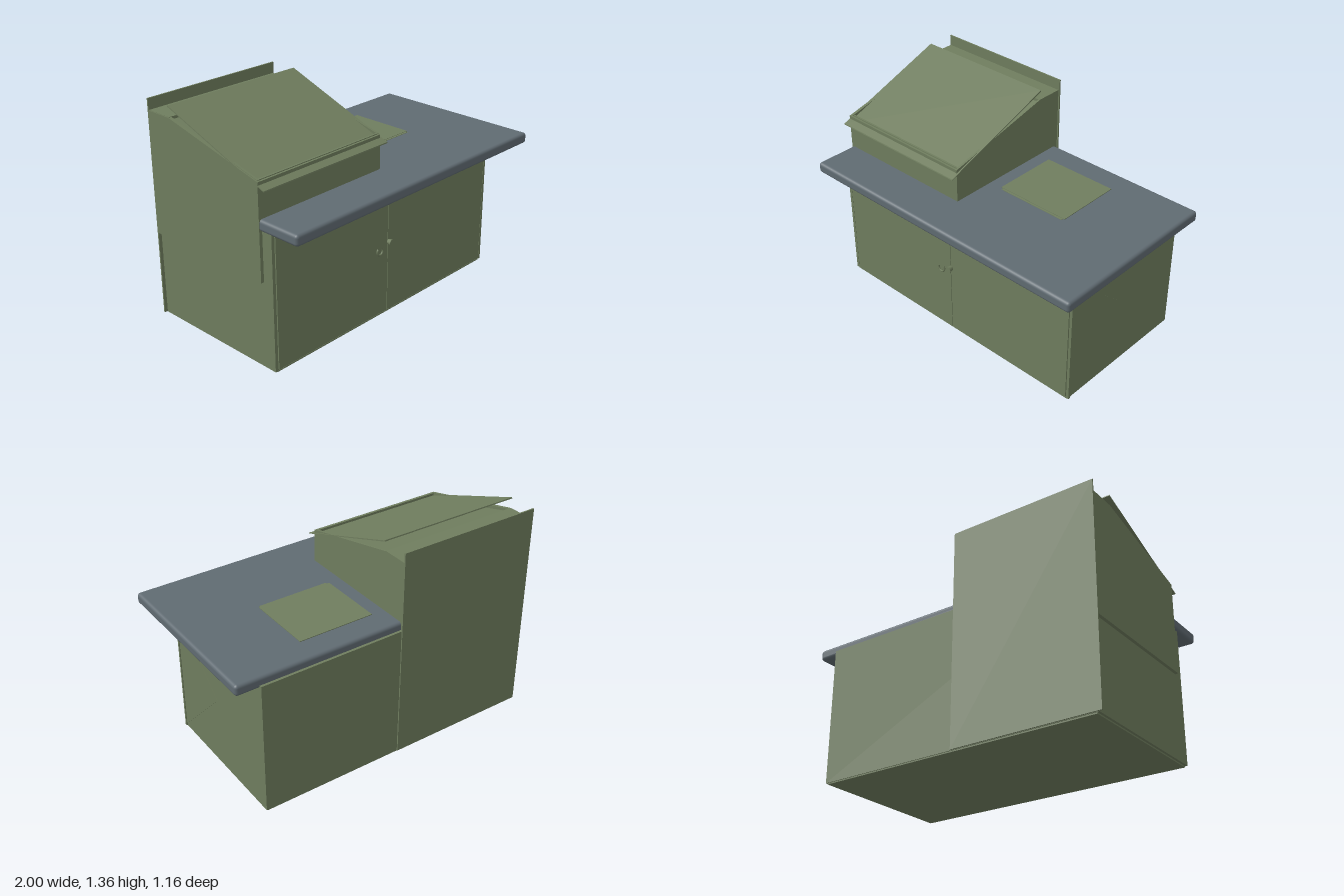
import * as THREE from 'three';
import { RoundedBoxGeometry } from 'three/addons/geometries/RoundedBoxGeometry.js';

export function createModel() {
  const model = new THREE.Group();
  const green = new THREE.MeshStandardMaterial({ color: 0x6f7d5e });
  green.name = 'olive paint';
  const slate = new THREE.MeshStandardMaterial({ color: 0x606b72 });
  slate.name = 'slate counter';

  const add = (name, geometry, material = green) => {
    const mesh = new THREE.Mesh(geometry, material);
    mesh.name = name;
    model.add(mesh);
    return mesh;
  };
  // Box given by its limits on each axis
  const box = (name, [x0, x1], [y0, y1], [z0, z1], material) => {
    const mesh = add(name, new THREE.BoxGeometry(x1 - x0, y1 - y0, z1 - z0), material);
    mesh.position.set((x0 + x1) / 2, (y0 + y1) / 2, (z0 + z1) / 2);
    return mesh;
  };
  // Side profile of [z, y] points, extruded from x0 to x1
  const profile = (name, points, x0, x1) => {
    const shape = new THREE.Shape(points.map(([z, y]) => new THREE.Vector2(z, y)));
    const geometry = new THREE.ExtrudeGeometry(shape, { depth: x1 - x0, bevelEnabled: false });
    geometry.rotateY(-Math.PI / 2).translate(x1, 0, 0);
    return add(name, geometry);
  };

  // Cabinet carcass with a slightly inset plinth
  box('cabinet', [-0.98, 0.855], [0.008, 0.86], [-0.575, 0.368]);
  box('plinth', [-0.965, 0.845], [0, 0.008], [-0.57, 0.37]);

  // Two doors meeting at a narrow gap, with corner posts beside them
  box('rightDoor', [-0.955, -0.073], [0.015, 0.85], [0.366, 0.376]);
  box('leftDoor', [-0.069, 0.84], [0.015, 0.85], [0.366, 0.376]);
  box('rightPost', [-0.98, -0.96], [0.008, 0.85], [0.36, 0.374]);
  box('leftPost', [0.845, 0.862], [0.008, 0.85], [0.36, 0.374]);

  // Triangular brace plate on the side
  profile('sideBrace', [[0.36, 0.02], [0.36, 0.845], [-0.07, 0.46]], 0.854, 0.857);

  // Door knob and ring pull
  const knob = add('knob', new THREE.CylinderGeometry(0.02, 0.015, 0.03, 12).rotateX(Math.PI / 2));
  knob.position.set(-0.065, 0.47, 0.39);
  const ring = add('ringPull', new THREE.TorusGeometry(0.024, 0.006, 6, 16, Math.PI * 1.5));
  ring.rotation.z = Math.PI * 0.75;
  ring.position.set(-0.145, 0.435, 0.382);

  // Worktop with softened edges
  const top = add('worktop', new RoundedBoxGeometry(1.995, 0.068, 1.14, 3, 0.02), slate);
  top.position.set(0.0015, 0.875, 0.011);

  // Square plate let into the worktop, with a small front lip
  box('worktopPlate', [0.015, 0.5], [0.903, 0.913], [-0.4, 0.025]);
  box('plateLip', [0.03, 0.49], [0.902, 0.911], [0.025, 0.04]);

  // Hutch: a core with a sloping top between two taller side panels
  profile('hutchCore', [[0.295, 0.86], [0.295, 1.08], [-0.4, 1.275], [-0.575, 1.275], [-0.575, 0.86]], -0.99, -0.08);
  const slope = [[0.305, 1.12], [-0.4, 1.29], [-0.578, 1.29]];
  profile('hutchLeftSide', [[0.305, 0.86], ...slope, [-0.578, 0.86]], -0.082, -0.07);
  profile('hutchRightSide', [[0.305, 0.54], ...slope, [-0.578, 0.54]], -1, -0.978);
  box('hutchFront', [-0.998, -0.071], [0.86, 1.12], [0.291, 0.305]);
  box('hutchRearShelf', [-0.995, -0.07], [1.275, 1.292], [-0.578, -0.4]);

  // Tall back board reaching down behind the cabinet
  box('backBoard', [-1, -0.062], [0.01, 1.36], [-0.583, -0.574]);

  // Raised writing lid, with a pencil ledge and end stops near its lower edge
  profile('lid', [[0.352, 1.078], [0.35, 1.084], [-0.4, 1.36], [-0.402, 1.353]], -1, -0.06);
  box('pencilLedge', [-0.99, -0.07], [1.09, 1.125], [0.28, 0.292]);
  for (const x of [-0.992, -0.082]) {
    profile('ledgeStop', [[0.295, 1.09], [0.295, 1.125], [0.17, 1.155], [0.1, 1.175], [0.17, 1.14]], x, x + 0.014);
  }

  return model;
}
